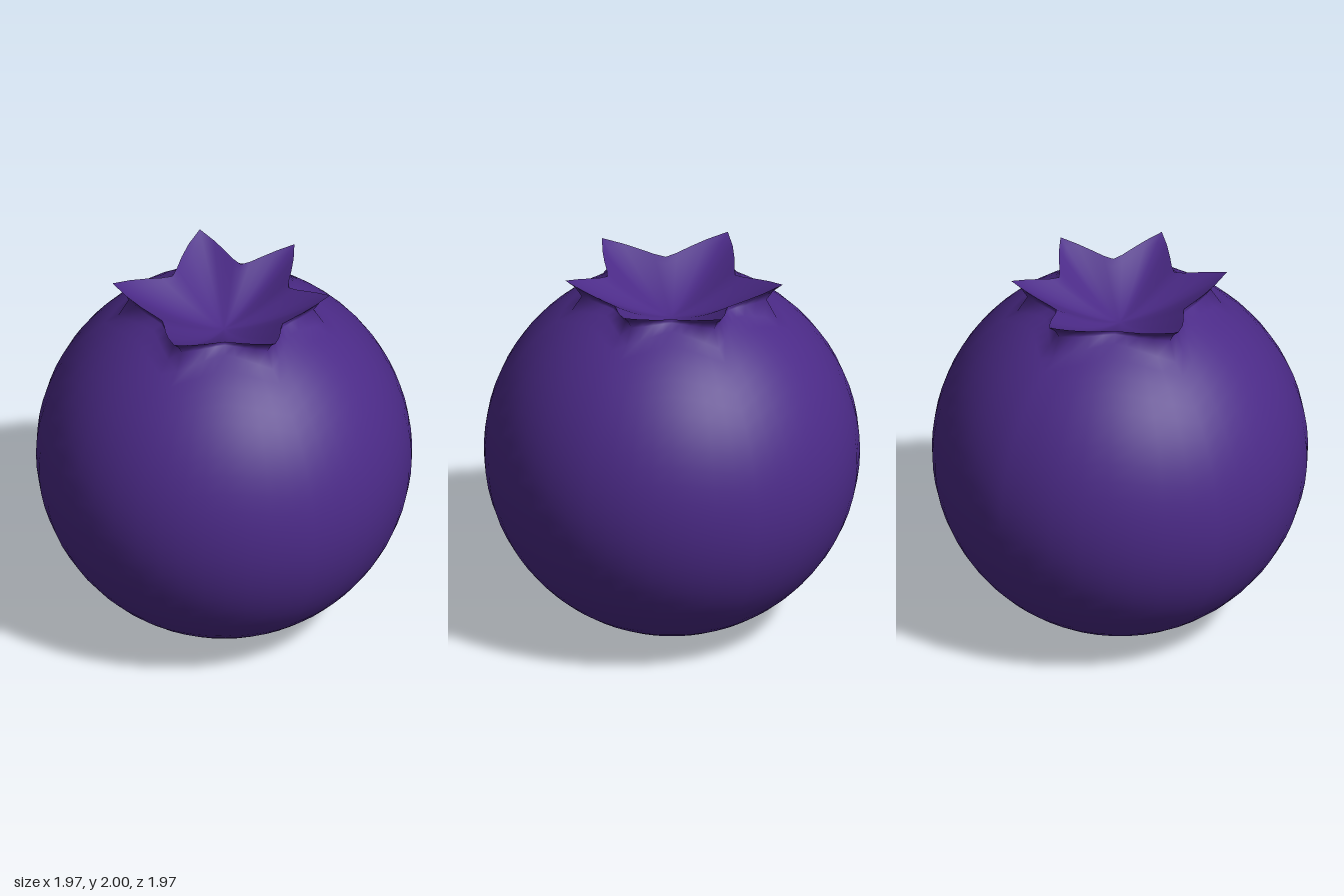
import * as THREE from 'three';
import { mergeVertices } from 'three/addons/utils/BufferGeometryUtils.js';

const R = 0.985, CY = 0.99; // berry radius and centre height
const STEPS = 8;            // columns between neighbouring crown tips
// crown tips: [angle from the front towards +x in degrees, radius]
const TIPS = [[15, 0.57], [71, 0.56], [128, 0.556], [182, 0.57], [234.7, 0.588], [305.3, 0.588]];

// One column per angle; t is 1 at a tip and 0 midway between two tips
function makeColumns() {
  const columns = [];
  TIPS.forEach(([a0, r0], i) => {
    const [aNext, r1] = TIPS[(i + 1) % TIPS.length];
    const a1 = aNext < a0 ? aNext + 360 : aNext;
    for (let k = 0; k < STEPS; k++) {
      const f = k / STEPS;
      columns.push({
        angle: THREE.MathUtils.degToRad(a0 + (a1 - a0) * f),
        t: Math.pow(Math.abs(1 - 2 * f), 1.5),
        tipR: f < 0.5 ? r0 : r1,
      });
    }
  });
  return columns;
}

// Smooth closed surface from rings; each ring maps a column to [radius, height]
function loft(rings, columns) {
  const n = columns.length, positions = [], index = [];
  rings.forEach((ring, j) => {
    columns.forEach((c, i) => {
      const [r, y] = ring(c);
      positions.push(r * Math.sin(c.angle), y, r * Math.cos(c.angle));
      if (j === rings.length - 1) return;
      const a = j * n + i, b = j * n + (i + 1) % n;
      index.push(a, b, b + n, a, b + n, a + n);
    });
  });
  const raw = new THREE.BufferGeometry();
  raw.setAttribute('position', new THREE.Float32BufferAttribute(positions, 3));
  raw.setIndex(index);
  const geometry = mergeVertices(raw, 1e-5);
  geometry.computeVertexNormals();
  return geometry;
}

export function createModel() {
  const group = new THREE.Group();
  group.name = 'berry';
  const material = new THREE.MeshStandardMaterial({ color: 0x4b2a87, side: THREE.DoubleSide });
  const columns = makeColumns();
  const lerp = THREE.MathUtils.lerp;

  const rim = (c) => [lerp(0.365, c.tipR, c.t), 1.927 + 0.073 * c.t];
  const neck = (c) => [lerp(0.372, c.tipR - 0.085, c.t), lerp(1.91, 1.905, c.t)];

  // Round body, ending where the crown rises, then the flared underside of the crown
  const skin = [];
  const bands = 28;
  for (let k = 0; k <= bands; k++) {
    skin.push((c) => {
      const end = Math.asin(lerp(0.42, c.tipR - 0.03, c.t) / R);
      const phi = lerp(Math.PI, end, k / bands);
      return [k === 0 ? 0 : R * Math.sin(phi), CY + R * Math.cos(phi)];
    });
  }
  skin.push(neck);
  skin.push((c) => {
    const [r0, y0] = neck(c), [r1, y1] = rim(c);
    return [lerp(r0, r1, 0.4), lerp(y0, y1, 0.55)];
  });
  skin.push(rim);

  // Dished inside of the crown, from the star rim down to the middle
  const bowl = [];
  const bowlRings = 10, floor = 1.76;
  for (let k = 0; k <= bowlRings; k++) {
    const s = 1 - k / bowlRings;
    bowl.push((c) => {
      const [r, y] = rim(c);
      return [r * s, floor + (y - floor) * Math.pow(s, 1.5)];
    });
  }

  for (const [name, rings] of [['skin', skin], ['crownBowl', bowl]]) {
    const mesh = new THREE.Mesh(loft(rings, columns), material);
    mesh.name = name;
    group.add(mesh);
  }
  return group;
}
